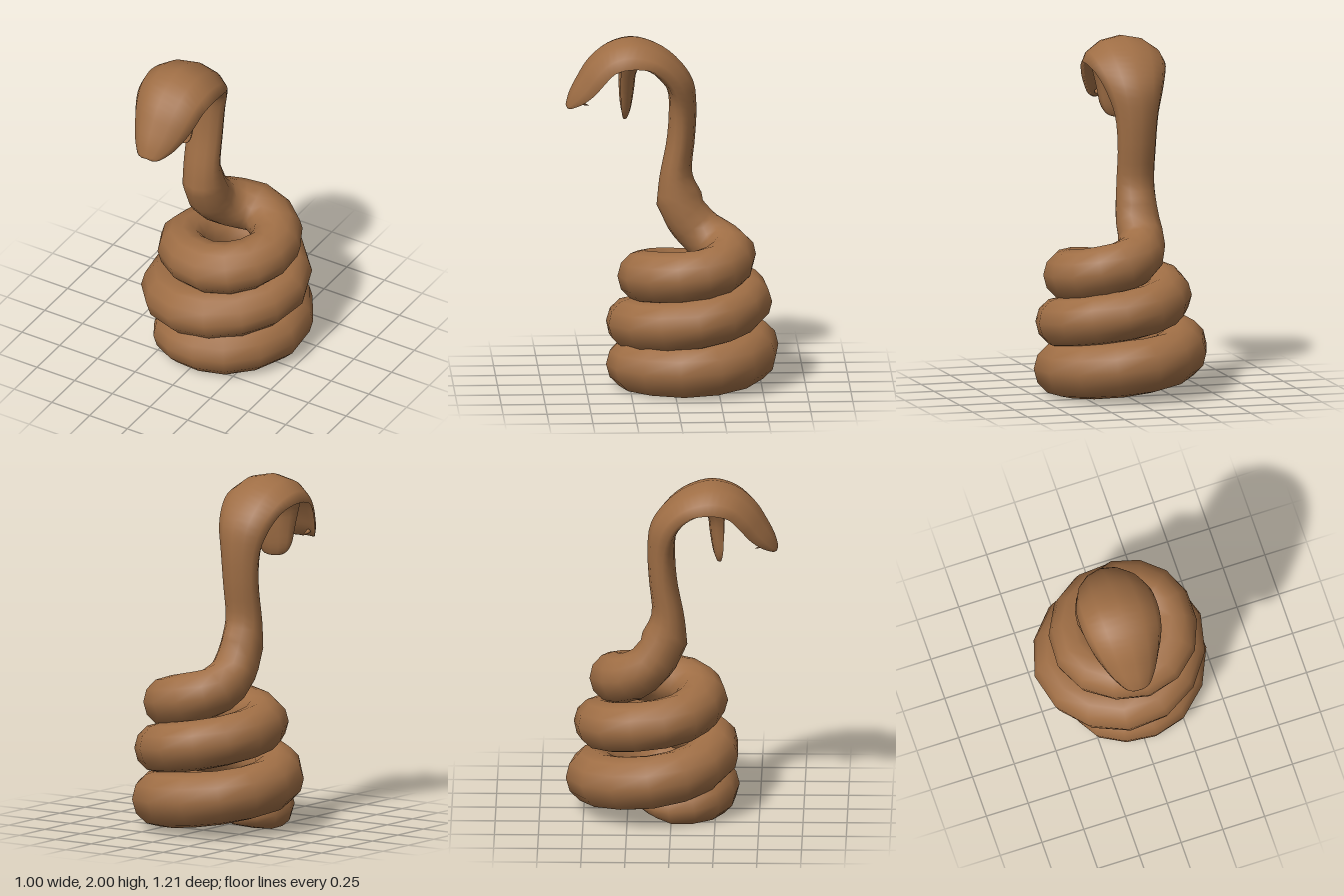
import * as THREE from 'three';

const CX = -0.115; // x of the neck and head
const SIDES = 12;

const angles = Array.from({ length: SIDES }, (_, j) => (j / SIDES) * Math.PI * 2);
const curve = (rows, f) => new THREE.CatmullRomCurve3(rows.map(f), false, 'catmullrom');

// Skin a list of closed rings, closing both ends to their centres
function loft(rings) {
  const n = SIDES;
  const collapse = (ring) => {
    const c = new THREE.Vector3();
    ring.forEach((p) => c.addScaledVector(p, 1 / n));
    return ring.map(() => c);
  };
  const all = [collapse(rings[0]), ...rings, collapse(rings[rings.length - 1])];
  const index = [];
  for (let i = 0; i < all.length - 1; i++) {
    for (let j = 0; j < n; j++) {
      const k = (j + 1) % n;
      const a = i * n + j, b = i * n + k, c = a + n, d = b + n;
      if (i > 0) index.push(a, b, c);
      else index.push(a, d, c);
      if (i > 0 && i < all.length - 2) index.push(b, d, c);
    }
  }
  const geo = new THREE.BufferGeometry().setFromPoints(all.flat());
  geo.setIndex(index);
  geo.computeVertexNormals();
  return geo;
}

// Round rings of changing radius along points [x, y, z, r], flattened on the ground
function coilRings(rows, segments) {
  const path = curve(rows, (r) => new THREE.Vector3(r[0], r[1], r[2]));
  const radius = curve(rows, (r) => new THREE.Vector3(r[3], 0, 0));
  const up = new THREE.Vector3(0, 1, 0);
  return Array.from({ length: segments + 1 }, (_, i) => {
    const t = i / segments;
    const p = path.getPoint(t), r = radius.getPoint(t).x * 1.03;
    const T = path.getTangent(t);
    const S = up.clone().cross(T).normalize();
    const N = T.clone().cross(S);
    return angles.map((a) => {
      const v = p.clone().addScaledVector(S, r * Math.cos(a)).addScaledVector(N, r * Math.sin(a));
      v.y = Math.max(v.y, 0);
      return v;
    });
  });
}

// Mirrored rings from rows [halfWidth, edge z,y, outer z,y, inner z,y];
// a peak above 1 makes the outer side more ridged than an ellipse
function shellRings(rows, segments, peak) {
  const edge = curve(rows, (r) => new THREE.Vector3(r[0], r[2], r[1]));
  const outer = curve(rows, (r) => new THREE.Vector3(0, r[4], r[3]));
  const inner = curve(rows, (r) => new THREE.Vector3(0, r[6], r[5]));
  return Array.from({ length: segments + 1 }, (_, i) => {
    const t = i / segments;
    const e = edge.getPoint(t), o = outer.getPoint(t), u = inner.getPoint(t);
    return angles.map((a) => {
      const s = Math.sin(a), far = s > 0 ? o : u;
      const k = s > 0 ? Math.pow(s, peak) : -s;
      return new THREE.Vector3(
        CX + e.x * Math.cos(a), e.y + (far.y - e.y) * k, e.z + (far.z - e.z) * k);
    });
  });
}

export function createModel() {
  const group = new THREE.Group();
  const skin = new THREE.MeshStandardMaterial({ color: 0x9f6e45 });
  skin.name = 'brown skin';
  const add = (name, geo) => {
    const mesh = new THREE.Mesh(geo, skin);
    mesh.name = name;
    group.add(mesh);
    return mesh;
  };

  // Coils, from the tail tip up to the base of the neck
  const coils = coilRings([
    [-0.13, 0.075, -0.15, 0.04], [-0.2, 0.075, -0.08, 0.06],
    [-0.25, 0.085, 0.04, 0.1], [-0.17, 0.11, 0.18, 0.13],
    [0.02, 0.13, 0.24, 0.142], [0.22, 0.14, 0.16, 0.15],
    [0.34, 0.15, -0.09, 0.155], [0.25, 0.17, -0.33, 0.155],
    [0, 0.2, -0.45, 0.155], [-0.24, 0.23, -0.35, 0.15],
    [-0.35, 0.27, -0.11, 0.15], [-0.25, 0.31, 0.13, 0.145],
    [0, 0.36, 0.245, 0.145], [0.24, 0.39, 0.14, 0.14],
    [0.35, 0.42, -0.1, 0.14], [0.25, 0.46, -0.32, 0.14],
    [0.03, 0.5, -0.42, 0.14], [-0.18, 0.54, -0.32, 0.14],
    [-0.26, 0.58, -0.1, 0.14], [-0.17, 0.61, 0.09, 0.14],
    [0.05, 0.64, 0.17, 0.145], [0.225, 0.67, 0.09, 0.145],
    [0.295, 0.69, -0.1, 0.142], [0.23, 0.72, -0.26, 0.142],
    [0.07, 0.76, -0.325, 0.142], [-0.06, 0.8, -0.25, 0.138],
    [-0.11, 0.87, -0.15, 0.13], [CX, 0.96, -0.075, 0.125],
  ], 46);

  // Neck, flared hood and hollow upper jaw, rising from the coils
  const neckAndHead = shellRings([
    [0.122, -0.035, 1.05, -0.165, 1.09, 0.09, 1.02],
    [0.112, -0.015, 1.2, -0.112, 1.21, 0.072, 1.19],
    [0.113, -0.045, 1.4, -0.128, 1.4, 0.032, 1.4],
    [0.128, -0.045, 1.58, -0.137, 1.58, 0.02, 1.58],
    [0.165, -0.01, 1.71, -0.12, 1.735, 0.03, 1.69],
    [0.2, 0.055, 1.8, -0.045, 1.855, 0.085, 1.77],
    [0.225, 0.135, 1.845, 0.07, 1.95, 0.15, 1.83],
    [0.23, 0.24, 1.855, 0.22, 2.0, 0.245, 1.9],
    [0.218, 0.33, 1.83, 0.365, 1.967, 0.345, 1.92],
    [0.195, 0.395, 1.76, 0.475, 1.88, 0.435, 1.84],
    [0.165, 0.445, 1.695, 0.545, 1.77, 0.505, 1.74],
    [0.125, 0.51, 1.635, 0.587, 1.685, 0.55, 1.655],
    [0.075, 0.575, 1.598, 0.605, 1.62, 0.585, 1.605],
    [0.035, 0.598, 1.592, 0.606, 1.605, 0.596, 1.595],
  ], 42, 1.25);
  add('snakeBody', loft([...coils, ...neckAndHead]));

  // Lower jaw hanging wide open, scooped on its front
  add('lowerJaw', loft(shellRings([
    [0.19, 0.29, 1.89, 0.26, 1.9, 0.16, 1.86],
    [0.16, 0.3, 1.8, 0.265, 1.8, 0.205, 1.79],
    [0.135, 0.3, 1.7, 0.262, 1.7, 0.217, 1.7],
    [0.115, 0.295, 1.6, 0.27, 1.59, 0.235, 1.59],
    [0.08, 0.285, 1.545, 0.275, 1.535, 0.255, 1.535],
    [0.04, 0.275, 1.528, 0.272, 1.526, 0.265, 1.526],
  ], 14, 1)));

  // Pair of small fangs behind the snout, pointing back
  for (const side of [-1, 1]) {
    const fang = add(side > 0 ? 'leftFang' : 'rightFang', new THREE.ConeGeometry(0.014, 0.07, 6));
    fang.position.set(CX + side * 0.06, 1.622, 0.505);
    fang.quaternion.setFromUnitVectors(
      new THREE.Vector3(0, 1, 0), new THREE.Vector3(0, -0.3, -1).normalize());
  }

  return group;
}
